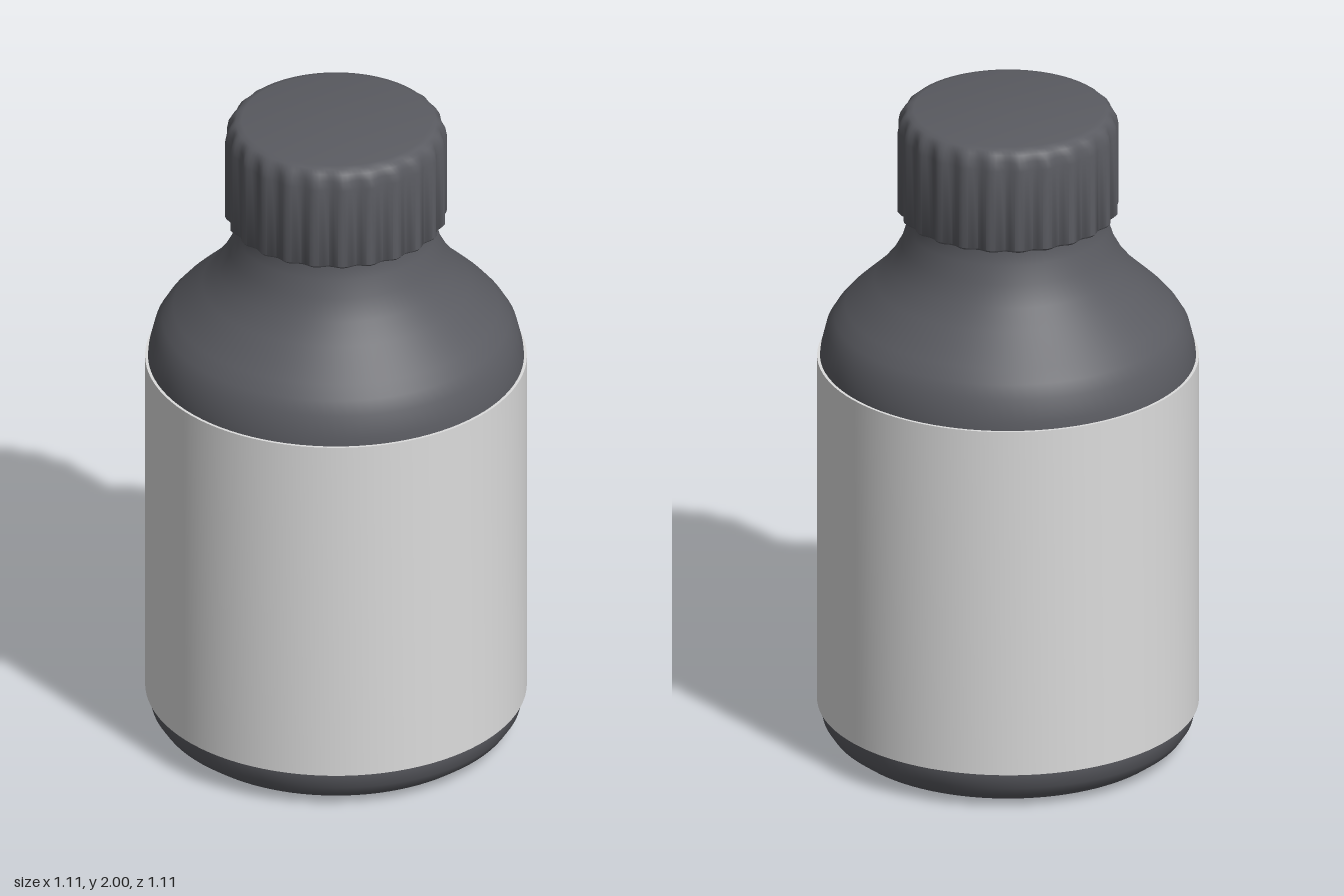
import * as THREE from 'three';
import { mergeVertices, toCreasedNormals } from 'three/addons/utils/BufferGeometryUtils.js';

const RIBS = 24;

// Revolve [radius, height] points, optionally reshape, then smooth with sharp creases
function turned(points, segments, reshape) {
  const lathe = new THREE.LatheGeometry(points.map(([r, y]) => new THREE.Vector2(r, y)), segments);
  if (reshape) reshape(lathe.attributes.position);
  lathe.deleteAttribute('uv');
  lathe.deleteAttribute('normal');
  return toCreasedNormals(mergeVertices(lathe, 1e-5), 0.75);
}

// Scallop the cap wall into shallow vertical grip ribs
function addRibs(position) {
  for (let i = 0; i < position.count; i++) {
    const x = position.getX(i), z = position.getZ(i);
    const r = Math.hypot(x, z);
    if (r < 0.3) continue;
    const depth = 0.006 * Math.min(1, (r - 0.3) / 0.018);
    const k = 1 + depth * (Math.cos(RIBS * Math.atan2(x, z)) - 1) / r;
    position.setX(i, x * k);
    position.setZ(i, z * k);
  }
}

export function createModel() {
  const group = new THREE.Group();
  const darkPlastic = new THREE.MeshStandardMaterial({ name: 'darkPlastic', color: 0x5a5b61 });
  const labelPaper = new THREE.MeshStandardMaterial({ name: 'labelPaper', color: 0xdcdcdc });

  const add = (name, geometry, material) => {
    const mesh = new THREE.Mesh(geometry, material);
    mesh.name = name;
    group.add(mesh);
  };

  // Bottle: rounded base, straight wall, sloping shoulder and neck
  add('bottle', turned([
    [0, 0], [0.45, 0], [0.485, 0.014], [0.52, 0.04], [0.54, 0.07], [0.549, 0.11],
    [0.55, 0.15], [0.55, 1.2], [0.546, 1.24], [0.53, 1.305], [0.507, 1.343],
    [0.475, 1.38], [0.39, 1.46], [0.345, 1.515], [0.312, 1.575], [0.295, 1.63],
    [0.285, 1.66], [0.285, 1.7],
  ], 96), darkPlastic);

  // Wrap-around label
  add('label', turned([
    [0.545, 0.12], [0.557, 0.12], [0.557, 1.215], [0.545, 1.215],
  ], 96), labelPaper);

  // Ribbed screw cap with a rounded top edge
  add('cap', turned([
    [0.27, 1.68], [0.317, 1.68], [0.324, 1.687], [0.324, 1.94], [0.319, 1.965],
    [0.307, 1.985], [0.292, 1.996], [0.275, 2], [0, 2],
  ], RIBS * 6, addRibs), darkPlastic);

  return group;
}
